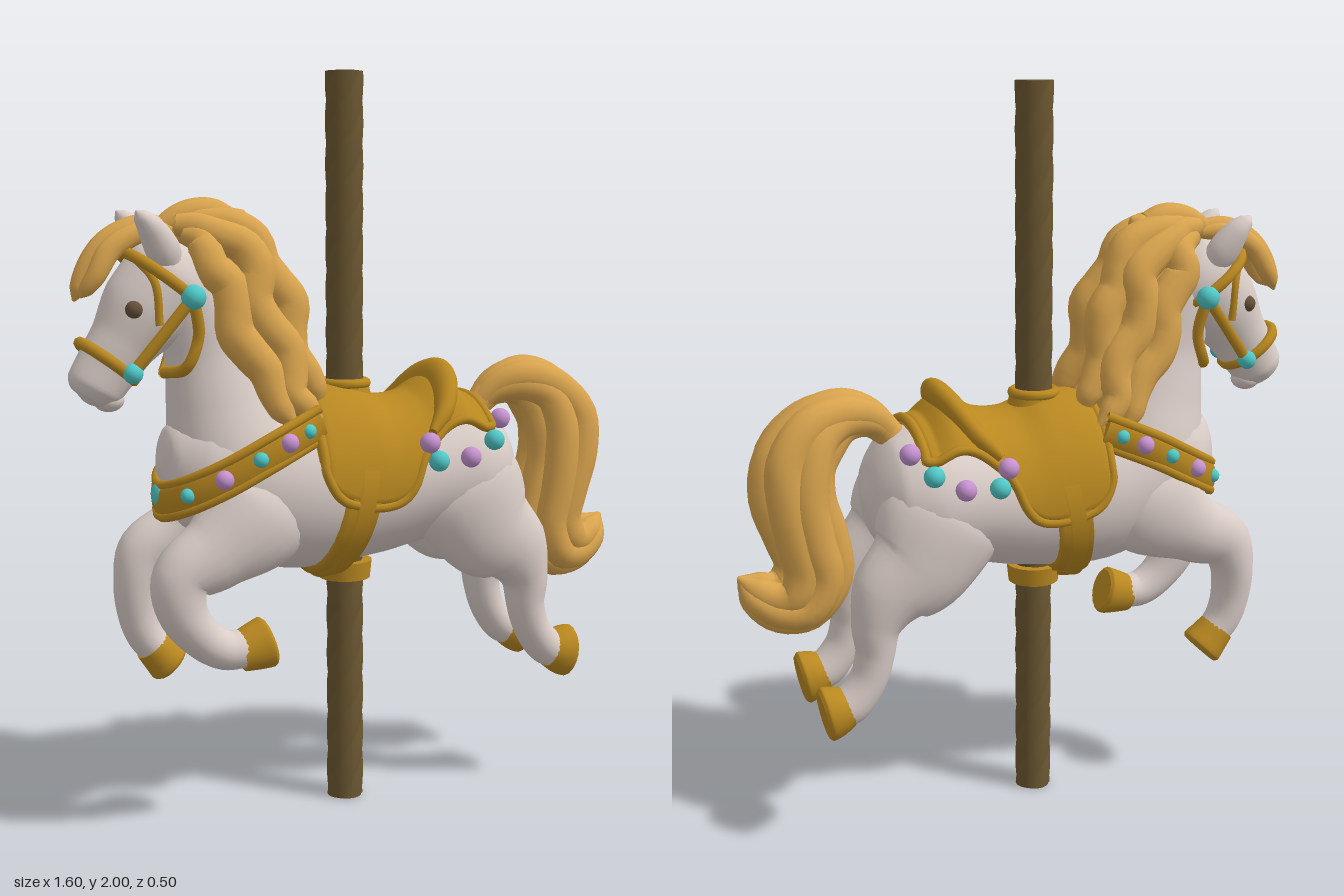
import * as THREE from 'three';
import { ParametricGeometry } from 'three/addons/geometries/ParametricGeometry.js';

const mat = (name, color) => { const m = new THREE.MeshStandardMaterial({ color }); m.name = name; return m; };
const V = (x, y, z) => new THREE.Vector3(x, y, z);
const Z = V(0, 0, 1), Y = V(0, 1, 0);

// Smooth tapered form through stations [x, y, z, inPlaneRadius, sideRadius]
function loft(stations, ref = Z, steps = 6, sides = 20) {
  const path = new THREE.CatmullRomCurve3(stations.map(s => V(s[0], s[1], s[2])));
  const radii = new THREE.CatmullRomCurve3(stations.map(s => V(s[3], s[4], 0)));
  const n = (stations.length - 1) * steps, pos = [], idx = [];
  for (let i = 0; i <= n; i++) {
    const c = path.getPoint(i / n), r = radii.getPoint(i / n), T = path.getTangent(i / n);
    const B = ref.clone().addScaledVector(T, -ref.dot(T)).normalize(), N = B.clone().cross(T);
    for (let j = 0; j < sides; j++) {
      const a = j / sides * Math.PI * 2;
      const p = c.clone().addScaledVector(N, Math.max(r.x, 0.001) * Math.cos(a))
        .addScaledVector(B, Math.max(r.y, 0.001) * Math.sin(a));
      pos.push(p.x, p.y, p.z);
      if (i < n) {
        const q = i * sides + j, w = i * sides + (j + 1) % sides;
        idx.push(q, w, q + sides, w, w + sides, q + sides);
      }
    }
  }
  // flat end caps with their own vertices
  for (const end of [0, n]) {
    const first = pos.length / 3, c = path.getPoint(end / n);
    for (let j = 0; j < sides; j++) pos.push(...pos.slice((end * sides + j) * 3, (end * sides + j) * 3 + 3));
    pos.push(c.x, c.y, c.z);
    for (let j = 0; j < sides; j++) {
      const a = first + j, b = first + (j + 1) % sides;
      idx.push(first + sides, end ? a : b, end ? b : a);
    }
  }
  const g = new THREE.BufferGeometry();
  g.setAttribute('position', new THREE.Float32BufferAttribute(pos, 3));
  g.setIndex(idx);
  g.computeVertexNormals();
  return g;
}

// Smooth lookup in rows [key, a, b, ...]
function lookup(rows, x) {
  let i = 1;
  while (i < rows.length - 1 && rows[i][0] < x) i++;
  const p = rows[i - 1], q = rows[i], o = rows[Math.max(i - 2, 0)], s = rows[Math.min(i + 1, rows.length - 1)];
  const d = q[0] - p[0], t = THREE.MathUtils.clamp((x - p[0]) / d, 0, 1);
  return p.slice(1).map((v, j) => {
    const k = j + 1, m0 = d * (q[k] - o[k]) / (q[0] - o[0]), m1 = d * (s[k] - p[k]) / (s[0] - p[0]);
    return v + t * m0 + t * t * (3 * (q[k] - v) - 2 * m0 - m1) + t * t * t * (2 * (v - q[k]) + m0 + m1);
  });
}

const tube = (pts, r, closed = false) =>
  new THREE.TubeGeometry(new THREE.CatmullRomCurve3(pts, closed), pts.length * 5, r, 8, closed);

// Wavy hair lock: swells, then tapers to a tip
const lock = (pts, w, wave = 0, phase = 0) => loft(
  new THREE.CatmullRomCurve3(pts.map(p => V(...p))).getPoints(11).map((p, i) => {
    const t = i / 11, r = w * (t === 1 ? 0.12 : 0.2 + 0.95 * Math.pow(Math.sin(Math.PI * (0.08 + 0.87 * t)), 0.6));
    const a = wave * Math.sin(i * 1.7 + phase) * Math.min(1, 4 * t) * (1.2 - t);
    return [p.x + a, p.y + a * 0.4, p.z, r, r * 0.88];
  }), Z, 4, 12);

// Barrel stations: x, centre height, vertical radius, side radius
const BODY = [[-0.572, 0.98, 0.01, 0.01], [-0.55, 0.98, 0.1, 0.09], [-0.48, 0.97, 0.16, 0.155], [-0.38, 0.95, 0.2, 0.185],
  [-0.2, 0.9, 0.225, 0.21], [0, 0.89, 0.2, 0.212], [0.15, 0.91, 0.19, 0.218], [0.28, 0.92, 0.2, 0.222],
  [0.38, 0.92, 0.17, 0.19], [0.43, 0.92, 0.1, 0.12], [0.45, 0.92, 0.01, 0.01]];
// Saddle: top line and lower edge, by x
const SADDLE_TOP = [[-0.2, 1.13], [-0.16, 1.17], [-0.04, 1.17], [0.04, 1.14], [0.13, 1.145], [0.2, 1.18], [0.245, 1.18], [0.29, 1.14], [0.34, 1.09]];
const SADDLE_EDGE = [[-0.2, 1.0], [-0.17, 0.9], [-0.11, 0.855], [0, 0.845], [0.06, 0.88], [0.11, 0.97], [0.2, 1.02], [0.34, 1.04]];

function saddlePoint(u, v, target) {
  const x = -0.2 + 0.54 * u, [cy, ry, rz] = lookup(BODY, x);
  const reach = Math.acos(THREE.MathUtils.clamp((lookup(SADDLE_EDGE, x)[0] - cy) / ry, -1, 1));
  const th = reach * (1 - 2 * v), edge = Math.min(u, 1 - u, v, 1 - v);
  const o = -0.015 + 0.035 * Math.sqrt(Math.min(1, edge / 0.05));
  const rise = Math.max(0, lookup(SADDLE_TOP, x)[0] - cy - ry - o);
  return target.set(x, cy + (ry + o) * Math.cos(th) + rise * Math.max(0, Math.cos(th)), (rz + o) * Math.sin(th));
}

// Strap wrapped round the underside of the barrel
const girth = (half, thick) => new ParametricGeometry((u, v, p) => {
  const th = 2 * Math.PI - 1.25 - v * (2 * Math.PI - 2.5), low = (1 - Math.cos(th)) / 2;
  const x = -0.03 - 0.085 * low + (u - 0.5) * 2 * half, [cy, ry, rz] = lookup(BODY, x);
  const o = thick * (u === 0 || u === 1 ? -0.5 : 1);
  p.set(x, cy + (ry + o) * Math.cos(th), (rz + o) * Math.sin(th));
}, 8, 48);

export function createModel() {
  const root = new THREE.Group();
  const coat = mat('coat', 0xdacdc7), hair = mat('hair', 0xd9a44e), gold = mat('gold', 0xb98820),
    wood = mat('poleBrown', 0x6b5731), dark = mat('eyeBrown', 0x66503a), teal = mat('teal', 0x50c8c8), pink = mat('pink', 0xc692d0);
  gold.side = THREE.DoubleSide;
  const add = (name, geo, m) => { const o = new THREE.Mesh(geo, m); o.name = name; root.add(o); return o; };
  const ball = (name, x, y, z, r, m) => { const o = add(name, new THREE.SphereGeometry(r, 16, 12), m); o.position.set(x, y, z); return o; };
  const flip = (pts, s) => pts.map(p => [p[0], p[1], p[2] * s, ...p.slice(3)]);

  // Twisted pole
  const pole = new THREE.CylinderGeometry(0.051, 0.051, 2, 40, 200), pp = pole.attributes.position;
  for (let i = 0; i < pp.count; i++) {
    const x = pp.getX(i), z = pp.getZ(i), k = 0.9 + 0.1 * Math.sqrt(Math.abs(Math.cos(2 * Math.atan2(z, x) + 28 * pp.getY(i))));
    pp.setX(i, x * k); pp.setZ(i, z * k);
  }
  pole.computeVertexNormals();
  add('pole', pole, wood).position.set(-0.04, 1, 0);
  add('poleFoot', new THREE.CylinderGeometry(0.045, 0.045, 0.006, 24), gold).position.set(-0.04, 0.001, 0);

  // Body, neck and head
  add('body', loft(BODY.map(b => [b[0], b[1], 0, b[2], b[3]]), Z, 6, 32), coat);
  add('neck', loft([[-0.34, 0.9, 0, 0.19, 0.18], [-0.37, 1.02, 0, 0.175, 0.17], [-0.4, 1.15, 0, 0.145, 0.13],
    [-0.43, 1.28, 0, 0.118, 0.1], [-0.47, 1.41, 0, 0.11, 0.095], [-0.51, 1.51, 0, 0.07, 0.07]], Z, 6, 28), coat);
  add('head', loft([[-0.46, 1.53, 0, 0.02, 0.02], [-0.485, 1.505, 0, 0.09, 0.08], [-0.53, 1.455, 0, 0.128, 0.11], [-0.6, 1.38, 0, 0.118, 0.105],
    [-0.66, 1.3, 0, 0.088, 0.084], [-0.705, 1.235, 0, 0.08, 0.072], [-0.735, 1.19, 0, 0.074, 0.066], [-0.75, 1.163, 0, 0.048, 0.045], [-0.757, 1.153, 0, 0.01, 0.01]], Z, 6, 28), coat);
  ball('lowerLip', -0.698, 1.157, 0, 0.037, coat).scale.set(1.1, 0.85, 1.1);

  // Breast collar
  const half = [[-0.18, 1.085, 0.165], [-0.32, 1.025, 0.192], [-0.44, 0.96, 0.168], [-0.53, 0.91, 0.105]];
  const band = [...half, [-0.562, 0.885, 0], ...flip(half, -1).reverse()];
  add('breastCollar', loft(band.map(p => [...p, 0.022, 0.046]), Y, 8, 12), gold);
  for (const dy of [-0.042, 0.042])
    add('collarTrim', tube(band.map(p => V(p[0] - 0.006, p[1] + dy, p[2] * 1.04)), 0.013), gold);
  const bandCurve = new THREE.CatmullRomCurve3(band.map(p => V(p[0] - 0.012, p[1], p[2] * 1.1)));
  [0.027, 0.08, 0.155, 0.25, 0.355].forEach((t, i) => [t, 1 - t].forEach(s => {
    const p = bandCurve.getPoint(s);
    ball('collarJewel', p.x, p.y, p.z, i % 2 ? 0.025 : 0.02, i % 2 ? pink : teal);
  }));
  ball('chestJewel', -0.568, 0.9, 0, 0.036, teal).scale.set(0.6, 1, 1);

  // Paired details
  for (const s of [1, -1]) {
    add('ear', loft(flip([[-0.545, 1.49, 0.06, 0.03, 0.03], [-0.57, 1.54, 0.075, 0.045, 0.04], [-0.605, 1.595, 0.088, 0.034, 0.038], [-0.63, 1.622, 0.092, 0.02, 0.026], [-0.642, 1.635, 0.093, 0.003, 0.004]], s), Z, 6, 16), coat);
    ball('eye', -0.648, 1.39, s * 0.082, 0.024, dark);
    ball('nostril', -0.765, 1.2, s * 0.04, 0.009, dark);

    // Hind leg and hoof
    add('hindLeg', loft(flip([[0.22, 0.95, 0.1, 0.1, 0.08], [0.27, 0.87, 0.115, 0.175, 0.112], [0.335, 0.765, 0.125, 0.15, 0.1], [0.42, 0.69, 0.13, 0.11, 0.082], [0.458, 0.61, 0.13, 0.068, 0.068],
      [0.464, 0.53, 0.13, 0.052, 0.06], [0.485, 0.46, 0.13, 0.05, 0.058], [0.53, 0.4, 0.13, 0.053, 0.058], [0.565, 0.38, 0.13, 0.05, 0.055]], s), Z, 6, 22), coat);
    add('hindHoof', loft(flip([[0.54, 0.39, 0.13, 0.054, 0.056], [0.57, 0.383, 0.13, 0.068, 0.064], [0.598, 0.377, 0.13, 0.075, 0.067], [0.609, 0.375, 0.13, 0.066, 0.058]], s), Z, 4, 20), gold);

    // Mane locks
    [[[-0.5, 1.58, 0.03], [-0.44, 1.53, 0.07], [-0.41, 1.42, 0.085], [-0.36, 1.3, 0.1], [-0.3, 1.18, 0.12], [-0.24, 1.08, 0.15]],
      [[-0.52, 1.6, 0.02], [-0.42, 1.585, 0.045], [-0.34, 1.5, 0.07], [-0.31, 1.38, 0.085], [-0.25, 1.25, 0.1], [-0.23, 1.16, 0.125], [-0.17, 1.09, 0.145]],
      [[-0.5, 1.61, 0.01], [-0.4, 1.6, 0.025], [-0.29, 1.52, 0.035], [-0.24, 1.42, 0.05], [-0.225, 1.31, 0.06], [-0.18, 1.2, 0.08], [-0.16, 1.12, 0.09]]]
      .forEach((p, i) => add('maneLock', lock(flip(p, s), 0.047, 0.022, i * 1.6 + s * 0.4), hair));
    add('forelock', lock(flip([[-0.53, 1.585, 0.015], [-0.6, 1.585, 0.022], [-0.69, 1.54, 0.03], [-0.735, 1.47, 0.035], [-0.77, 1.42, 0.02]], s), 0.026), hair);

    // Bridle straps and jewels
    add('cheekStrap', tube([V(-0.505, 1.42, s * 0.118), V(-0.58, 1.325, s * 0.1), V(-0.655, 1.23, s * 0.078)], 0.016), gold);
    add('throatStrap', tube([V(-0.505, 1.42, s * 0.118), V(-0.487, 1.32, s * 0.1), V(-0.515, 1.24, s * 0.085), V(-0.55, 1.22, 0)], 0.016), gold);
    add('foreheadStrap', tube([V(-0.645, 1.53, s * 0.04), V(-0.6, 1.46, s * 0.1), V(-0.59, 1.35, s * 0.105)], 0.011), gold);
    ball('browJewel', -0.505, 1.42, s * 0.12, 0.032, teal);
    ball('bitJewel', -0.655, 1.23, s * 0.082, 0.026, teal);

    // Jewels along the saddle's rear edge
    [[0.115, 1.025, 0.215], [0.14, 0.975, 0.22], [0.235, 0.98, 0.222], [0.315, 1.02, 0.205], [0.362, 1.07, 0.15]]
      .forEach((p, i) => ball('saddleJewel', p[0], p[1], p[2] * s, 0.028, i % 2 ? teal : pink));
  }

  // Front legs: one tucked far back, one hanging
  add('frontLegLeft', loft([[-0.27, 0.93, 0.1, 0.1, 0.07], [-0.34, 0.85, 0.115, 0.15, 0.1], [-0.46, 0.765, 0.13, 0.105, 0.082], [-0.555, 0.705, 0.135, 0.078, 0.07], [-0.555, 0.62, 0.135, 0.066, 0.066],
    [-0.5, 0.54, 0.135, 0.055, 0.058], [-0.44, 0.502, 0.135, 0.052, 0.055], [-0.385, 0.5, 0.135, 0.05, 0.055]], Z, 6, 22), coat);
  add('frontHoofLeft', loft([[-0.4, 0.492, 0.135, 0.054, 0.055], [-0.36, 0.502, 0.135, 0.064, 0.06], [-0.325, 0.511, 0.135, 0.07, 0.064], [-0.315, 0.514, 0.135, 0.06, 0.055]], Z, 4, 20), gold);
  add('frontLegRight', loft([[-0.27, 0.93, -0.1, 0.1, 0.07], [-0.35, 0.85, -0.115, 0.15, 0.1], [-0.47, 0.77, -0.13, 0.1, 0.082], [-0.57, 0.72, -0.135, 0.08, 0.07], [-0.6, 0.64, -0.135, 0.06, 0.066],
    [-0.597, 0.55, -0.135, 0.053, 0.058], [-0.578, 0.49, -0.135, 0.05, 0.055], [-0.54, 0.44, -0.135, 0.046, 0.052]], Z, 6, 22), coat);
  add('frontHoofRight', loft([[-0.56, 0.46, -0.135, 0.05, 0.054], [-0.535, 0.432, -0.135, 0.056, 0.058], [-0.512, 0.408, -0.135, 0.062, 0.062], [-0.504, 0.4, -0.135, 0.054, 0.054]], Z, 4, 20), gold);

  // Mane core and crest
  add('maneCore', loft([[-0.52, 1.58, 0, 0.02, 0.02], [-0.43, 1.56, 0, 0.065, 0.06], [-0.34, 1.45, 0, 0.08, 0.075], [-0.3, 1.3, 0, 0.085, 0.09], [-0.25, 1.15, 0, 0.07, 0.1], [-0.21, 1.09, 0, 0.02, 0.05]]), hair);
  add('maneCrest', lock([[-0.56, 1.59, 0], [-0.49, 1.62, 0], [-0.42, 1.625, 0], [-0.36, 1.605, 0], [-0.325, 1.635, 0]], 0.038), hair);
  add('forelock', lock([[-0.5, 1.585, 0], [-0.6, 1.595, 0], [-0.69, 1.555, 0], [-0.745, 1.49, 0], [-0.782, 1.41, 0]], 0.031), hair);

  // Tail: locks fanned across the width around an arched middle
  const arch = [[0.36, 1.08], [0.45, 1.15], [0.56, 1.135], [0.635, 1.03], [0.63, 0.89], [0.595, 0.75], [0.65, 0.66], [0.73, 0.68], [0.79, 0.74]];
  const fan = [0, 0.35, 0.8, 1.1, 1.15, 1.05, 0.95, 0.6, 0];
  [[0.048, 0, 0.05], [0.028, 0.058, 0.05], [0.028, -0.058, 0.05], [-0.02, 0.068, 0.046], [-0.02, -0.068, 0.046], [-0.055, 0.025, 0.045], [-0.055, -0.025, 0.045], [0, 0, 0.06]]
    .forEach(([out, side, w], k) => add('tailLock', lock(arch.map(([x, y], i) => {
      const a = [2.2, 1.9, 1.2, 0.3, 0, 0.3, 1.1, 1.8, 1.9][i];
      return [x + out * fan[i] * Math.cos(a), y + out * fan[i] * Math.sin(a), side * fan[i]];
    }), w, 0.01, k), hair));

  // Bridle rings round the head
  const ring = (name, cx, cy, ra, rb, r) => add(name, tube(Array.from({ length: 16 }, (_, i) => {
    const a = i / 8 * Math.PI;
    return V(cx - 0.8 * ra * Math.cos(a), cy + 0.6 * ra * Math.cos(a), rb * Math.sin(a));
  }), r, true), gold);
  ring('browBand', -0.55, 1.455, 0.128, 0.112, 0.016);
  ring('noseBand', -0.7, 1.255, 0.083, 0.077, 0.016);

  // Saddle with raised rim and cantle, girth and pole collars
  add('saddle', new ParametricGeometry((u, v, p) => saddlePoint(u, v, p), 48, 48), gold);
  const m = 0.03, corners = [[m, m], [1 - m, m], [1 - m, 1 - m], [m, 1 - m]];
  add('saddleRim', tube(corners.flatMap(([u, v], k) => Array.from({ length: 20 }, (_, i) => {
    const [u2, v2] = corners[(k + 1) % 4];
    return saddlePoint(u + (u2 - u) * i / 20, v + (v2 - v) * i / 20, V(0, 0, 0));
  })), 0.013, true), gold);
  add('cantle', loft([[0.13, 1.05, 0.2, 0.012, 0.015], [0.18, 1.1, 0.165, 0.026, 0.032], [0.218, 1.16, 0.09, 0.032, 0.046], [0.232, 1.182, 0, 0.034, 0.05],
    [0.218, 1.16, -0.09, 0.032, 0.046], [0.18, 1.1, -0.165, 0.026, 0.032], [0.13, 1.05, -0.2, 0.012, 0.015]], V(0.5, 1, 0)), gold);
  add('girth', girth(0.055, 0.018), gold);
  add('stirrupStrap', girth(0.028, 0.03), gold);
  add('upperCollar', new THREE.CylinderGeometry(0.062, 0.075, 0.05, 32), gold).position.set(-0.04, 1.155, 0);
  add('upperCollarRing', new THREE.TorusGeometry(0.058, 0.014, 10, 32).rotateX(Math.PI / 2), gold).position.set(-0.04, 1.172, 0);
  add('lowerCollar', new THREE.CylinderGeometry(0.075, 0.07, 0.05, 32), gold).position.set(-0.04, 0.655, 0);
  return root;
}
